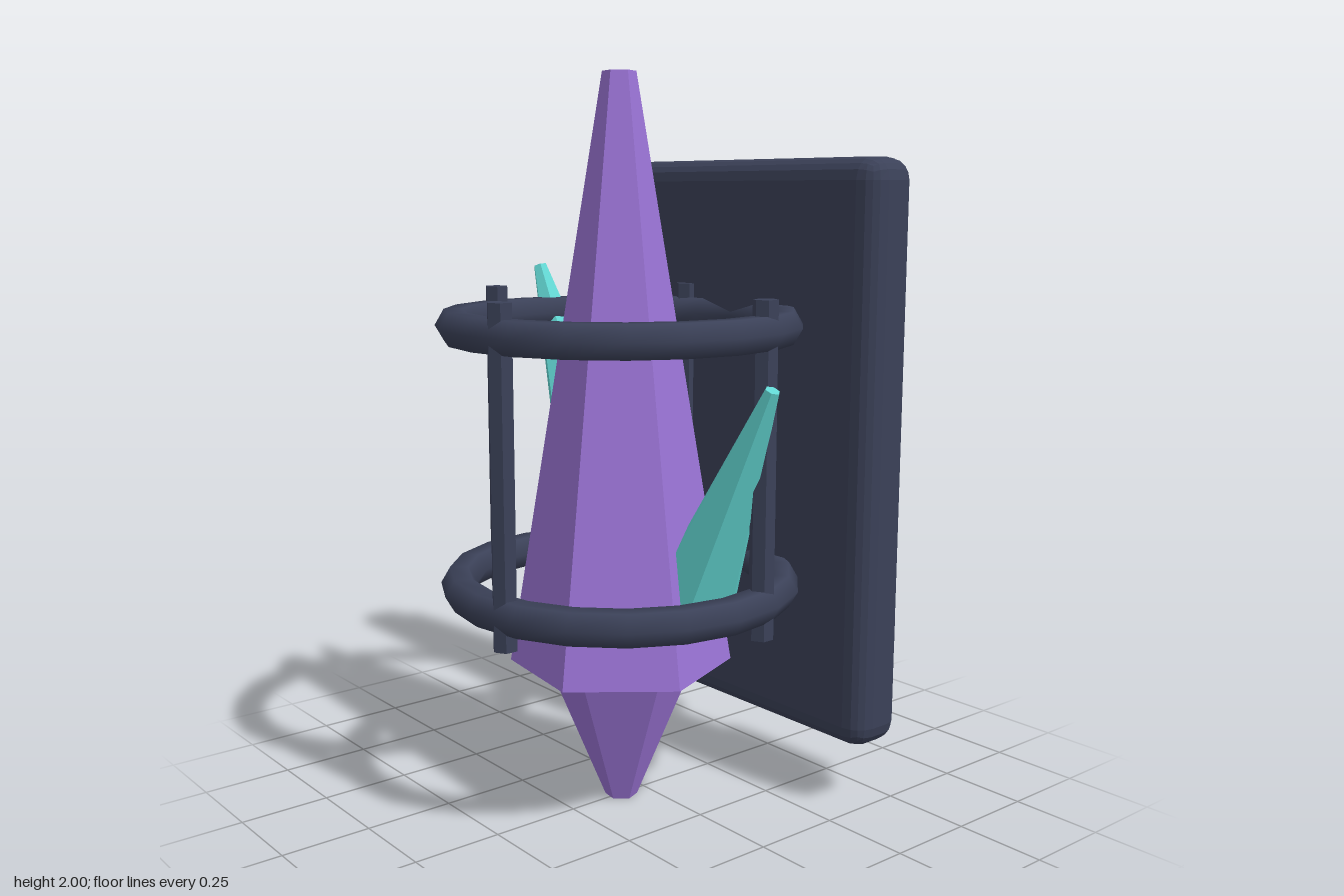
import * as THREE from 'three';
import { RoundedBoxGeometry } from 'three/addons/geometries/RoundedBoxGeometry.js';

function material(name, color, flatShading = true) {
  const m = new THREE.MeshStandardMaterial({ color, flatShading });
  m.name = name;
  return m;
}

export function createModel() {
  const group = new THREE.Group();
  const purple = material('crystal purple', 0x9b74d6);
  const teal = material('shard teal', 0x62d6d2);
  const slate = material('slate', 0x3b4158);

  const add = (name, geometry, mat, x, y, z) => {
    const mesh = new THREE.Mesh(geometry, mat);
    mesh.name = name;
    mesh.position.set(x, y, z);
    group.add(mesh);
    return mesh;
  };
  const hexPrism = (top, bottom, height, turn = 0) =>
    new THREE.CylinderGeometry(top, bottom, height, 6).rotateY(turn);
  const axisZ = 0.08; // centre line of crystal and cage

  // Large crystal: long upper spire over a smaller inverted point
  add('crystalSpire', hexPrism(0.045, 0.308, 1.6, 0.384), purple, 0, 1.2, axisZ);
  add('crystalPoint', hexPrism(0.21, 0.045, 0.4, 0.384), purple, 0, 0.2, axisZ);

  // Side shards, placed by their base centre and leaning outwards
  const shard = (name, x, y, z, lean, turn) => {
    const geometry = hexPrism(0.02, 0.13, 0.7, turn).translate(0, 0.35, 0);
    add(name, geometry, teal, x, y, z).rotation.z = lean;
  };
  shard('rightShard', -0.207, 0.837, -0.01, 0.43, 0);
  shard('leftShard', 0.184, 0.574, -0.018, -0.45, 0.7);

  // Cage: two smooth hoops joined by four hexagonal bars
  const hoopSlate = slate.clone();
  hoopSlate.name = 'smooth slate';
  hoopSlate.flatShading = false;
  const hoop = new THREE.TorusGeometry(0.445, 0.05, 6, 20).rotateX(Math.PI / 2);
  add('lowerHoop', hoop, hoopSlate, 0, 0.63, axisZ);
  add('upperHoop', hoop, hoopSlate, 0, 1.34, axisZ);
  const bar = hexPrism(0.034, 0.034, 0.885);
  for (const [x, z] of [[0.08, 0.517], [-0.431, 0.19], [0.423, -0.053], [-0.188, -0.322]]) {
    add('cageBar', bar, slate, x, 0.982, z);
  }

  // Back plate with two straps and their buckles
  add('backPlate', new RoundedBoxGeometry(1.06, 1.6, 0.175, 2, 0.06), slate, 0, 0.98, -0.409);
  for (const side of [-1, 1]) {
    add('strap', new RoundedBoxGeometry(0.175, 1.6, 0.05, 2, 0.018), slate, side * 0.333, 0.98, -0.524);
    add('buckle', new RoundedBoxGeometry(0.218, 0.125, 0.066, 2, 0.02), slate, side * 0.333, 0.447, -0.542);
  }
  return group;
}
